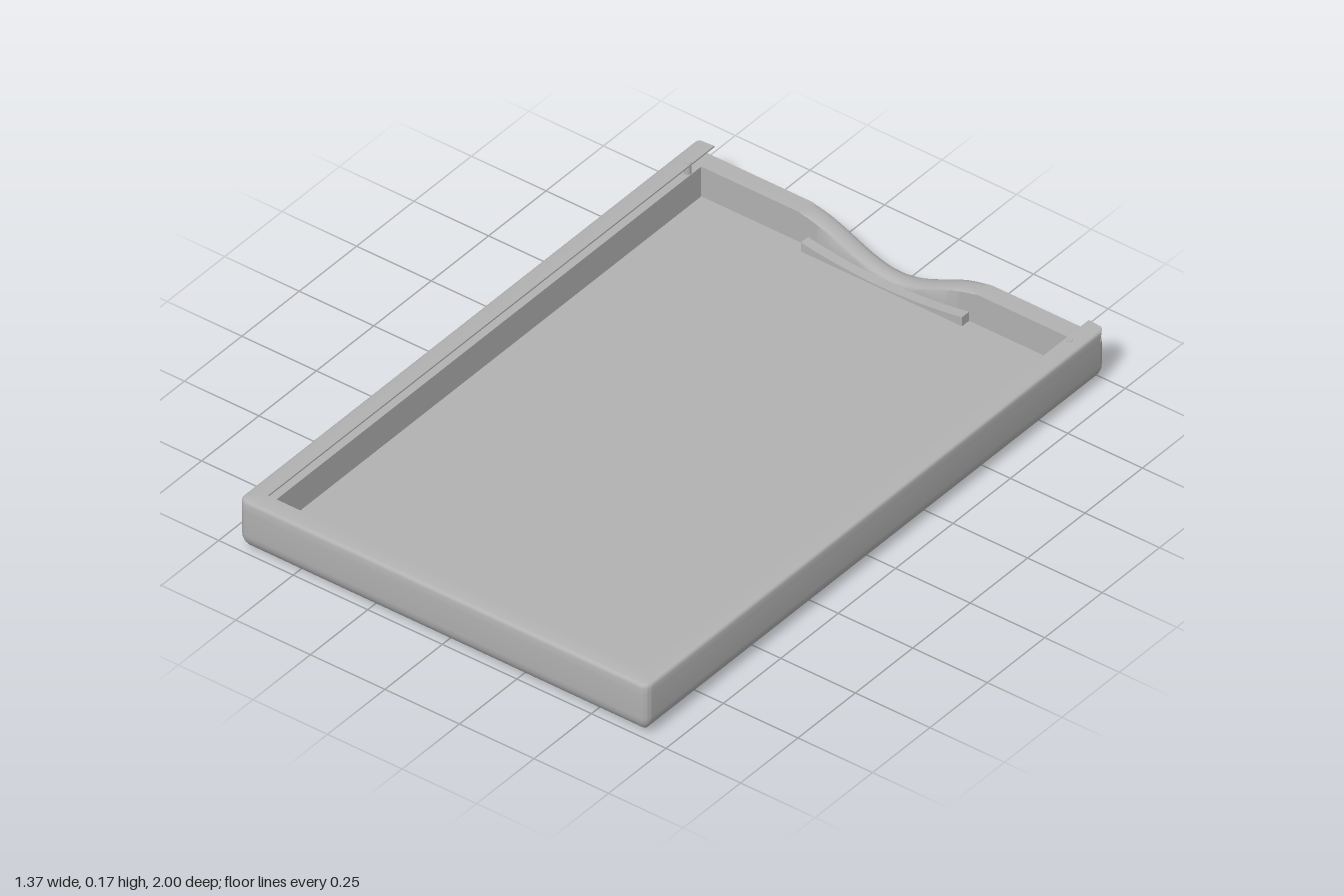
import * as THREE from 'three';
import { toCreasedNormals } from 'three/addons/utils/BufferGeometryUtils.js';

const W = 0.685, L = 1, H = 0.172;      // half width, half length, height
const CORNER = 0.025;                   // vertical corner radius
const LEDGE = 0.137, FLOOR = 0.038;     // height of the lid ledge and of the floor
const WALL = 0.057, ROUND = 0.06;       // wall thickness, bottom edge radius
const NOTCH = 0.3;                      // half width of the finger notch

// Point on a rounded rectangle corner, inset by d
function cornerPoint(sx, sz, angle, d) {
  const c = Math.max(CORNER, d), r = Math.max(CORNER - d, 0);
  return [sx * (W - c) + r * Math.cos(angle), sz * (L - c) + r * Math.sin(angle)];
}

// Stations around one corner
function cornerStations(sx, sz, start) {
  return Array.from({ length: 7 }, (_, i) =>
    ({ at: d => cornerPoint(sx, sz, start + i * Math.PI / 12, d) }));
}

// Skin a grid of rows; every row runs from +x towards +z
function loft(rows, closed, caps) {
  const pos = [];
  const tri = (...p) => p.forEach(v => pos.push(...v));
  const n = rows[0].length;
  for (let i = 0; i < rows.length - 1; i++) {
    for (let j = 0; j < (closed ? n : n - 1); j++) {
      const k = (j + 1) % n;
      const a = rows[i][j], b = rows[i][k], c = rows[i + 1][k], e = rows[i + 1][j];
      tri(a, e, b);
      tri(b, e, c);
    }
  }
  if (caps) {
    for (let i = 1; i < rows.length - 2; i++) {
      tri(rows[0][0], rows[i + 1][0], rows[i][0]);
      tri(rows[0][n - 1], rows[i][n - 1], rows[i + 1][n - 1]);
    }
  }
  const g = new THREE.BufferGeometry();
  g.setAttribute('position', new THREE.Float32BufferAttribute(pos, 3));
  return toCreasedNormals(g, 0.6);
}

// Tray with rounded bottom, inner cavity and a scooped notch in the back wall
function trayGeometry() {
  const back = [];
  for (let i = 0; i <= 32; i++) {
    const x = -NOTCH + 2 * NOTCH * i / 32;
    const s = Math.cos(Math.PI * x / (2 * NOTCH));
    back.push({ at: d => [x, -L + d], top: LEDGE - 0.085 * s * s, bulge: 0.013 * Math.sqrt(Math.max(s, 0)) });
  }
  const stations = [
    ...cornerStations(1, 1, 0), ...cornerStations(-1, 1, Math.PI / 2),
    ...cornerStations(-1, -1, Math.PI), ...back, ...cornerStations(1, -1, Math.PI * 1.5)
  ];
  const ring = (d, height) => stations.map(s => {
    const [x, z] = s.at(d);
    return [x, height(s), z];
  });
  const rim = (s, t) =>
    (s.top ?? LEDGE) - (s.bulge ?? 0) * (1 - Math.sqrt(Math.max(0, 1 - (2 * t - 1) ** 2)));
  const centre = y => stations.map(() => [0, y, 0]);

  const rows = [centre(0)];
  for (let i = 0; i <= 6; i++) {        // rounded bottom edge
    const a = i * Math.PI / 12;
    const y = ROUND * (1 - Math.cos(a));
    rows.push(ring(ROUND * (1 - Math.sin(a)), s => Math.min(y, rim(s, 0))));
  }
  for (let i = 0; i <= 8; i++) {        // top of the wall, outside to inside
    const t = (1 - Math.cos(Math.PI * i / 8)) / 2;
    rows.push(ring(WALL * t, s => rim(s, t)));
  }
  rows.push(ring(WALL, () => FLOOR), centre(FLOOR));
  return loft(rows, true, false);
}

// Undercut rail on three sides that holds a sliding lid, open at the back
function railGeometry() {
  const backEnd = sx => ({
    at: d => {
      const k = Math.max(CORNER - d, 0);
      return [sx * (W - d), -L + CORNER - Math.sqrt(CORNER ** 2 - k ** 2)];
    }
  });
  const stations = [
    backEnd(1), ...cornerStations(1, 1, 0),
    ...cornerStations(-1, 1, Math.PI / 2), backEnd(-1)
  ];
  const section = [               // inset from the outside, height
    [0, LEDGE], [0, H - 0.012], [0.0016, H - 0.006], [0.006, H - 0.0016], [0.012, H],
    [WALL, H], [WALL, H - 0.005], [0.03, LEDGE], [0, LEDGE]
  ];
  const rows = section.map(([d, y]) => stations.map(s => {
    const [x, z] = s.at(d);
    return [x, y, z];
  }));
  return loft(rows, false, true);
}

// Low step inside the notch with a dipped top
function stepGeometry() {
  const shape = new THREE.Shape();
  shape.moveTo(-0.27, FLOOR - 0.01);
  shape.lineTo(0.27, FLOOR - 0.01);
  shape.lineTo(0.27, 0.068);
  shape.quadraticCurveTo(0, 0.02, -0.27, 0.068);
  const g = new THREE.ExtrudeGeometry(shape, { depth: 0.033, bevelEnabled: false, curveSegments: 16 });
  return toCreasedNormals(g.translate(0, 0, -0.945), 0.6);
}

export function createModel() {
  const group = new THREE.Group();
  const grey = new THREE.MeshStandardMaterial({ color: 0xb2b2b2 });
  grey.name = 'plain grey';
  const add = (name, geometry) => {
    const mesh = new THREE.Mesh(geometry, grey);
    mesh.name = name;
    group.add(mesh);
    return mesh;
  };

  add('tray', trayGeometry());
  add('lidRail', railGeometry());
  add('notchStep', stepGeometry());

  // Small catch pins near the open end of the rail
  for (const [side, name] of [[1, 'leftCatch'], [-1, 'rightCatch']]) {
    add(name, new THREE.CylinderGeometry(0.01, 0.01, H - LEDGE + 0.002, 16))
      .position.set(side * 0.64, (H + LEDGE) / 2 + 0.0005, -0.9);
  }
  return group;
}
